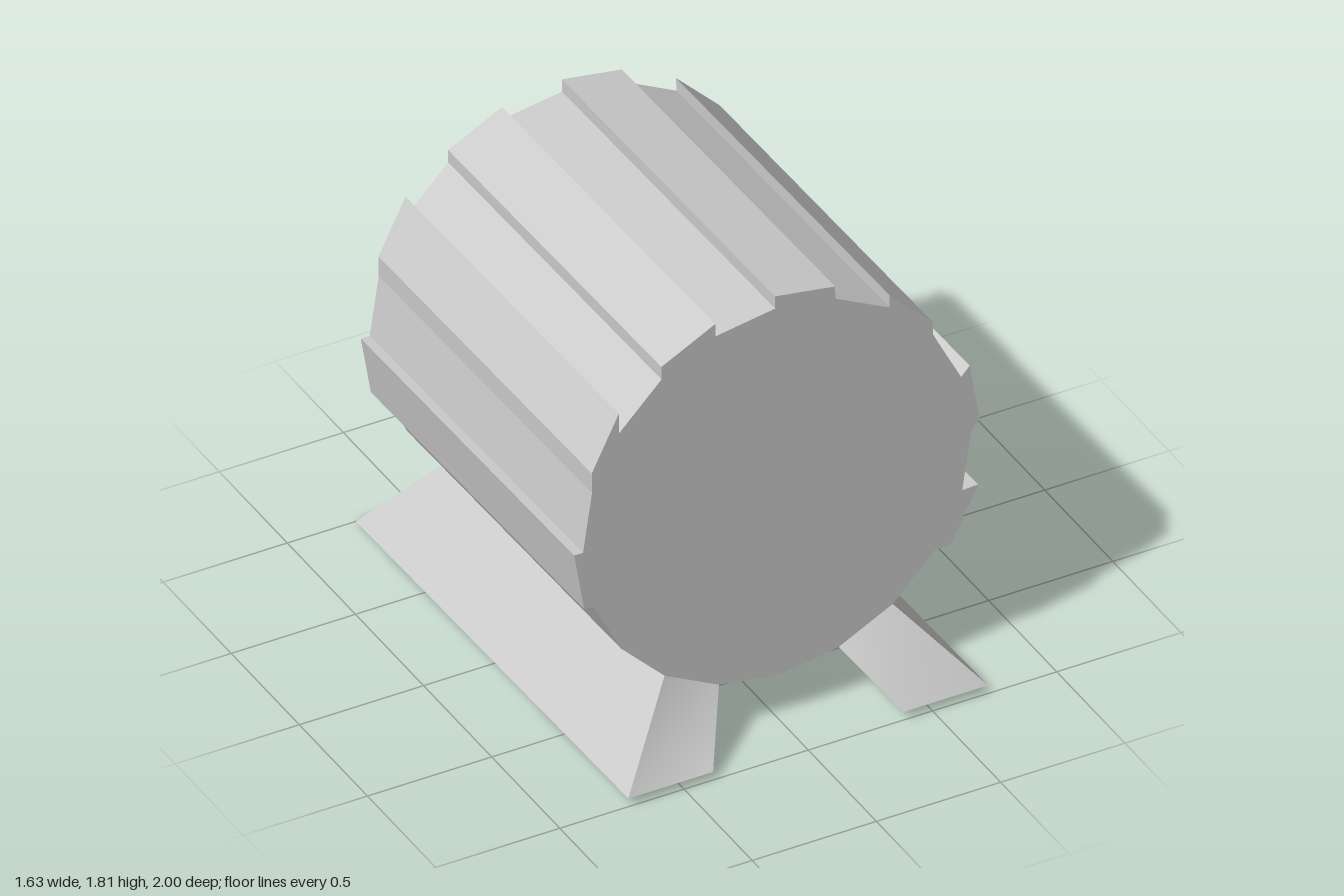
import * as THREE from 'three';

const R = 0.781, HALF = 0.783, CY = 0.942, SIDES = 20, WALL = 0.004;
const STEP = (Math.PI * 2) / SIDES;

// Corner i of the log's cross-section, counted from the top towards +x
const corner = (i) => new THREE.Vector2(Math.sin(i * STEP) * R, Math.cos(i * STEP) * R);

// Raised bark strips: [side index, offset x, offset y]
const STRIPS = [
  [0, 0, 0.052], [2, 0, 0.053], [4, 0.035, 0.037], [6, 0.064, 0.003],
  [-2, 0, 0.053], [-4, 0, 0.084], [-6, -0.036, 0],
];

export function createModel() {
  const model = new THREE.Group();
  const log = new THREE.Group();
  log.name = 'log';
  model.add(log);

  const flat = new THREE.MeshStandardMaterial({ color: 0xcccccc, flatShading: true });
  const smooth = new THREE.MeshStandardMaterial({ color: 0xcccccc });
  const thin = new THREE.MeshStandardMaterial({ color: 0xcccccc, side: THREE.DoubleSide });

  const add = (parent, name, geometry, material) => {
    const mesh = new THREE.Mesh(geometry, material);
    mesh.name = name;
    parent.add(mesh);
    return mesh;
  };

  // Faceted shell, open at both ends
  const tube = new THREE.CylinderGeometry(R, R, HALF * 2, SIDES, 1, true);
  add(log, 'shell', tube.rotateX(Math.PI / 2), flat);

  // Smooth hollow just inside the shell: from the middle of the closed end to the open rim
  const profile = [[0, HALF - WALL], [R - WALL, HALF - WALL], [R - WALL, WALL - HALF], [R, -HALF]]
    .map(([x, y]) => new THREE.Vector2(x, y));
  add(log, 'hollow', new THREE.LatheGeometry(profile, SIDES).rotateX(Math.PI / 2), thin);

  // Closed front end
  add(log, 'frontCap', new THREE.CircleGeometry(R, SIDES), flat).position.z = HALF;

  // Bark strips: one side of the log pushed outwards
  for (const [i, dx, dy] of STRIPS) {
    const a = corner(i), b = corner(i + 1), d = new THREE.Vector2(dx, dy);
    const shape = new THREE.Shape([a, b, b.clone().add(d), a.clone().add(d)]);
    const geo = new THREE.ExtrudeGeometry(shape, { depth: HALF * 2, bevelEnabled: false });
    add(log, 'barkStrip', geo.translate(0, 0, -HALF), flat);
  }
  log.position.set(0, CY, 0.005);

  // Splayed feet, each growing from one lower side of the log
  for (const side of [1, -1]) {
    const geo = new THREE.BoxGeometry(2, 2, 2);
    const p = geo.attributes.position;
    for (let i = 0; i < p.count; i++) {
      const outer = p.getX(i) * side > 0, top = p.getY(i) > 0, z = Math.sign(p.getZ(i));
      const c = corner(outer ? 8 : 9);
      if (top) p.setXYZ(i, c.x * side, c.y + CY, z * HALF + 0.005);
      else p.setXYZ(i, (outer ? 0.724 : 0.383) * side, 0, z);
    }
    geo.computeVertexNormals();
    add(model, side > 0 ? 'leftFoot' : 'rightFoot', geo, smooth);
  }

  // The whole piece leans back slightly
  model.rotation.x = -Math.PI / 180;
  model.position.y = 0.0175;
  const root = new THREE.Group();
  root.name = 'hollowLog';
  root.add(model);
  return root;
}
